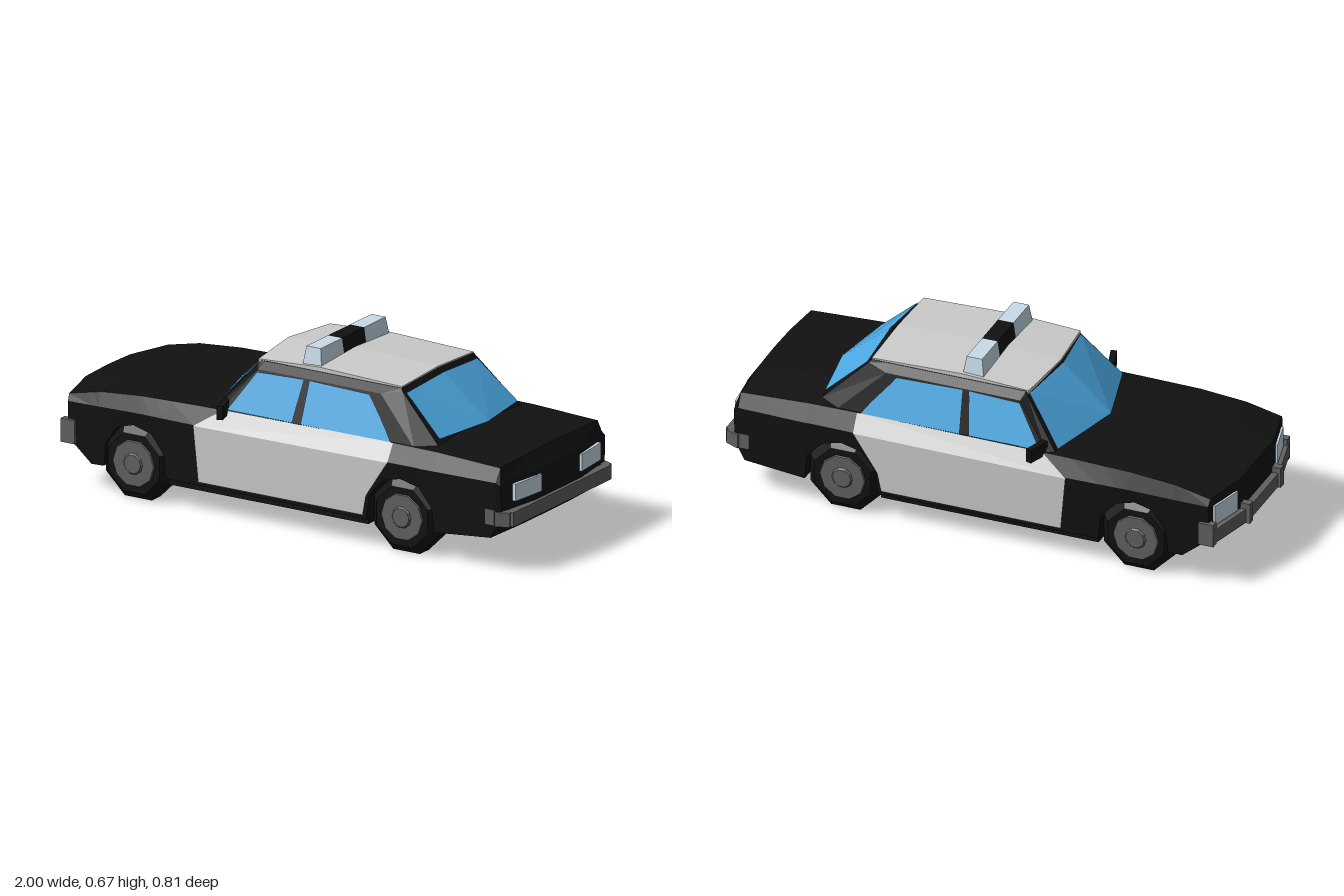
import * as THREE from 'three';

const BLACK = 0x111111, GREY = 0xcccccc, STEEL = 0x606060, GLASS = 0x4caae4, LAMP = 0xc8dce8;

const mat = (color) => new THREE.MeshStandardMaterial({ color, flatShading: true, side: THREE.DoubleSide });
const flip = ([x, y, z]) => [x, y, -z];
const lerp = THREE.MathUtils.lerp;

function make(parent, name, geo, color, pos = [0, 0, 0]) {
  const mesh = new THREE.Mesh(geo, mat(color));
  mesh.name = name;
  mesh.position.set(...pos);
  parent.add(mesh);
  return mesh;
}

function fromTriangles(points) {
  const geo = new THREE.BufferGeometry();
  geo.setAttribute('position', new THREE.Float32BufferAttribute(points.flat(), 3));
  geo.computeVertexNormals();
  return geo;
}

// Skin over half rings that run from centre line to centre line on the +z side
function loft(halfRings) {
  const rings = halfRings.map((h) => [...h, ...h.slice(1, -1).reverse().map(flip)]);
  const tris = [];
  for (let r = 0; r + 1 < rings.length; r++) {
    const a = rings[r], b = rings[r + 1], n = a.length;
    for (let i = 0; i < n; i++) {
      const j = (i + 1) % n;
      tris.push(a[i], b[i], a[j], a[j], b[i], b[j]);
    }
  }
  return fromTriangles(tris);
}

// Flat panel fanned from its first corner, plus its mirror on the other side
function panelPair(parent, name, color, pts) {
  [['left', pts], ['right', pts.map(flip).reverse()]].forEach(([side, p], k) => {
    const q = k ? [p[p.length - 1], ...p.slice(0, -1)] : p;
    const tris = [];
    for (let i = 1; i + 1 < q.length; i++) tris.push(q[0], q[i], q[i + 1]);
    make(parent, `${name}_${side}`, fromTriangles(tris), color);
  });
}

// Row of a table sorted by x, interpolated
function sample(table, x) {
  let i = 1;
  while (i < table.length - 1 && table[i][0] < x) i++;
  const a = table[i - 1], b = table[i];
  const t = THREE.MathUtils.clamp((x - a[0]) / (b[0] - a[0]), 0, 1);
  return a.map((v, k) => lerp(v, b[k], t));
}

function buildBody(car) {
  // Lower edge with both wheel arches: x, y
  const arch = (cx) => [[-0.145, 0.11], [-0.135, 0.2], [-0.08, 0.27], [0, 0.29], [0.08, 0.27], [0.135, 0.2], [0.145, 0.11]]
    .map(([dx, y]) => [cx + dx, y]);
  const lower = [[-0.965, 0.19], [-0.84, 0.107], ...arch(-0.63), ...arch(0.53), [0.925, 0.13], [0.988, 0.24]];
  // Upper body: x, corner sweep, belt y, belt z, shoulder y, shoulder z, deck y
  const upper = [
    [-0.965, 0.05, 0.33, 0.35, 0.355, 0.335, 0.365],
    [-0.8, 0.02, 0.335, 0.358, 0.385, 0.335, 0.398],
    [-0.6, 0, 0.34, 0.363, 0.4, 0.335, 0.412],
    [-0.36, 0, 0.34, 0.368, 0.405, 0.332, 0.42],
    [0.48, 0, 0.345, 0.37, 0.41, 0.33, 0.425],
    [0.67, 0, 0.345, 0.368, 0.408, 0.33, 0.434],
    [0.95, -0.01, 0.345, 0.36, 0.395, 0.33, 0.408],
    [0.988, -0.03, 0.335, 0.355, 0.345, 0.32, 0.35]];
  const xs = [...new Set([...lower, ...upper].map((r) => r[0]))].sort((a, b) => a - b);
  const rings = xs.map((x) => {
    const yb = sample(lower, x)[1];
    const [, sweep, beltY, beltZ, shY, shZ, deck] = sample(upper, x);
    return [[0, yb], [0.15, yb], [beltZ - 0.005, yb], [beltZ, beltY], [shZ, shY], [0.15, deck - 0.004], [0, deck]]
      .map(([z, y]) => [x + sweep * Math.max(0, (z - 0.15) / 0.2), y, z]);
  });
  // Close nose and tail by squeezing the end rings to a line
  const squeeze = (ring) => ring.map(([x, , z]) => [x, 0.29, z]);
  make(car, 'body', loft([squeeze(rings[0]), ...rings, squeeze(rings[rings.length - 1])]), BLACK);
  make(car, 'chassis', new THREE.BoxGeometry(1.46, 0.2, 0.48), BLACK, [-0.05, 0.205, 0]);
  make(car, 'sills', new THREE.BoxGeometry(0.86, 0.1, 0.69), BLACK, [-0.05, 0.135, 0]);

  // Light door panels
  panelPair(car, 'doorLower', GREY, [[0.385, 0.2, 0.372], [0.48, 0.345, 0.374], [-0.36, 0.339, 0.373], [-0.34, 0.125, 0.369], [0.37, 0.125, 0.37]]);
  panelPair(car, 'doorUpper', GREY, [[-0.36, 0.339, 0.373], [0.48, 0.345, 0.374], [0.48, 0.412, 0.334], [-0.25, 0.409, 0.335]]);
}

function buildCabin(car) {
  // Half rings: rear centre, rear corner, side rear, side front, front corner, front centre
  const base = [[0.68, 0.425, 0], [0.64, 0.415, 0.28], [0.57, 0.4, 0.328], [-0.27, 0.4, 0.33], [-0.3, 0.4, 0.318], [-0.38, 0.415, 0]];
  const rail = [[0.48, 0.59, 0], [0.468, 0.582, 0.25], [0.39, 0.568, 0.276], [-0.14, 0.568, 0.276], [-0.155, 0.585, 0.25], [-0.187, 0.598, 0]];
  const top = [[0.465, 0.606, 0], [0.46, 0.593, 0.245], [0.4, 0.593, 0.245], [-0.13, 0.593, 0.245], [-0.15, 0.593, 0.245], [-0.18, 0.604, 0]];
  make(car, 'cabinFrame', loft([base, rail, top, top.map(([x]) => [x, 0.6, 0])]), BLACK);

  // Roof skin with a shallow ridge
  const roof = [[-0.16, 0.604, -0.026], [0.1, 0.618, 0], [0.46, 0.606, 0]].map(([x, y, s]) =>
    [[x + s, 0.58, 0], [x, 0.58, 0.243], [x, y - 0.008, 0.243], [x + s, y + 0.003, 0]]);
  const close = (r) => r.map(([x, , z]) => [x, 0.59, z]);
  make(car, 'roof', loft([close(roof[0]), ...roof, close(roof[2])]), GREY);

  // Glass, just proud of the frame
  panelPair(car, 'windshield', GLASS, [[-0.384, 0.424, 0], [-0.302, 0.415, 0.305], [-0.163, 0.585, 0.24], [-0.195, 0.597, 0]]);
  panelPair(car, 'rearWindow', GLASS, [[0.678, 0.436, 0], [0.637, 0.434, 0.265], [0.479, 0.577, 0.24], [0.487, 0.593, 0]]);
  const z = (y) => lerp(0.335, 0.281, (y - 0.4) / 0.168);
  const onSide = (pts) => pts.map(([x, y]) => [x, y, z(y)]);
  panelPair(car, 'frontSideWindow', GLASS, onSide([[-0.24, 0.41], [0.04, 0.41], [0.06, 0.566], [-0.14, 0.56]]));
  panelPair(car, 'rearSideWindow', GLASS, onSide([[0.078, 0.41], [0.468, 0.41], [0.435, 0.455], [0.345, 0.56], [0.085, 0.566]]));

  // Roof light bar, narrower at the top
  const segment = (name, color, z0, z1, t0, t1) => {
    const geo = new THREE.BoxGeometry(0.085, 0.08, 1);
    const p = geo.attributes.position;
    for (let i = 0; i < p.count; i++) {
      const up = p.getY(i) > 0, far = p.getZ(i) > 0;
      if (up) p.setX(i, p.getX(i) * 0.72);
      p.setZ(i, far ? (up ? t1 : z1) : (up ? t0 : z0));
    }
    make(car, name, geo, color, [0.064, 0.633, 0]);
  };
  segment('lightBarCentre', BLACK, -0.075, 0.075, -0.075, 0.075);
  segment('lightBarLeft', LAMP, 0.075, 0.232, 0.075, 0.22);
  segment('lightBarRight', LAMP, -0.232, -0.075, -0.22, -0.075);

  for (const s of [1, -1]) {
    const mirror = make(car, 'sideMirror', new THREE.BoxGeometry(0.024, 0.052, 0.095), BLACK, [-0.24, 0.419, s * 0.357]);
    mirror.rotation.y = s * 0.3;
  }
}

function buildEnds(car) {
  // Bent bars following each end of the car
  const bar = (name, pts, y, h, d) => {
    for (let i = 0; i + 1 < pts.length; i++) {
      const [x0, z0] = pts[i], [x1, z1] = pts[i + 1];
      const box = make(car, name, new THREE.BoxGeometry(d, h, Math.hypot(x1 - x0, z1 - z0) + 0.006), STEEL,
        [(x0 + x1) / 2, y, (z0 + z1) / 2]);
      box.rotation.y = Math.atan2(x1 - x0, z1 - z0);
    }
  };
  bar('frontBumper', [[-0.925, -0.35], [-0.975, -0.14], [-0.975, 0.14], [-0.925, 0.35]], 0.21, 0.055, 0.03);
  bar('rearBumper', [[0.935, -0.35], [0.982, -0.33], [0.982, 0.33], [0.935, 0.35]], 0.207, 0.055, 0.035);
  for (const s of [1, -1]) {
    make(car, 'bumperGuard', new THREE.BoxGeometry(0.04, 0.08, 0.03), STEEL, [-0.98, 0.22, s * 0.145]);
    make(car, 'frontBumperEnd', new THREE.BoxGeometry(0.06, 0.09, 0.03), STEEL, [-0.91, 0.218, s * 0.347]);
    make(car, 'rearBumperEnd', new THREE.BoxGeometry(0.04, 0.06, 0.03), STEEL, [0.915, 0.21, s * 0.347]);
    const head = make(car, 'headlight', new THREE.BoxGeometry(0.015, 0.08, 0.14), LAMP, [-0.94, 0.282, s * 0.252]);
    head.rotation.y = s * 0.245;
    const tail = make(car, 'tailLight', new THREE.BoxGeometry(0.015, 0.066, 0.155), LAMP, [0.982, 0.296, s * 0.212]);
    tail.rotation.y = s * -0.1;
  }
}

function buildWheel(car, name, x, s) {
  const wheel = new THREE.Group();
  wheel.name = name;
  const R = 0.14 / Math.cos(Math.PI / 8);
  // Outer radius, inner radius, z start, z end, sides
  const disc = (part, r1, r0, z0, z1, sides, color) => {
    const geo = new THREE.CylinderGeometry(r1, r0, z1 - z0, sides).rotateY(Math.PI / sides);
    make(wheel, part, geo.rotateX(s * Math.PI / 2), color, [0, 0, s * (z0 + z1) / 2]);
  };
  disc('tyre', R, R, 0.26, 0.32, 8, BLACK);
  disc('tyreShoulder', 0.12, R, 0.32, 0.35, 8, BLACK);
  disc('rim', 0.088, 0.097, 0.34, 0.355, 10, STEEL);
  disc('hubCap', 0.036, 0.046, 0.35, 0.362, 10, STEEL);
  wheel.position.set(x, 0.14, 0);
  car.add(wheel);
}

export function createModel() {
  const car = new THREE.Group();
  car.name = 'patrolCar';
  buildBody(car);
  buildCabin(car);
  buildEnds(car);
  for (const s of [1, -1]) {
    buildWheel(car, 'frontWheel', -0.63, s);
    buildWheel(car, 'rearWheel', 0.53, s);
  }
  return car;
}
